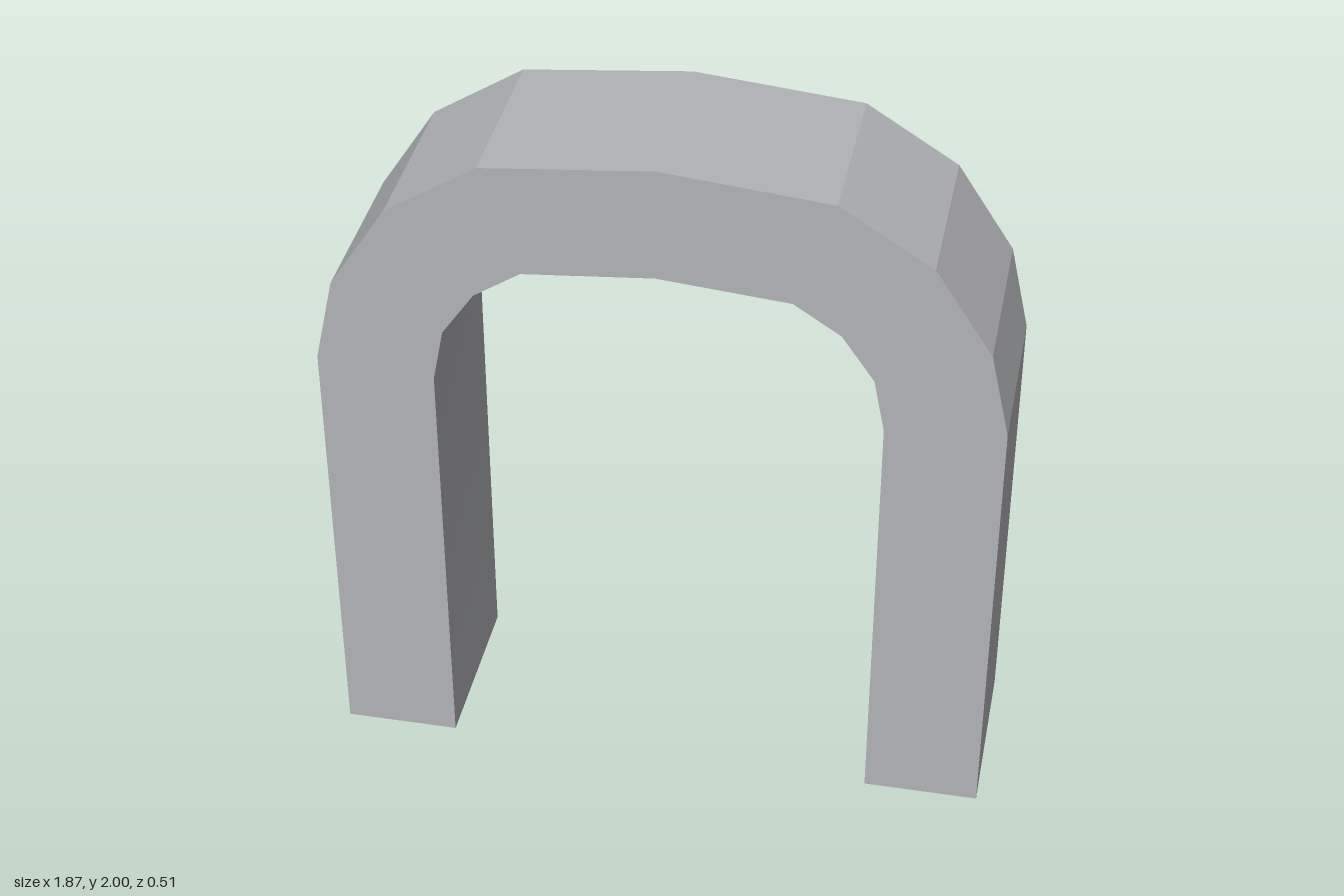
import * as THREE from 'three';
import { toCreasedNormals } from 'three/addons/utils/BufferGeometryUtils.js';

const DEPTH = 0.515;

export function createModel() {
  const group = new THREE.Group();
  group.name = 'archway';
  const stone = new THREE.MeshStandardMaterial({ color: 0xb2b3b7 });
  stone.name = 'grey stone';

  // Right half of the profile, from the foot up to the crown
  const outer = [[0.935, 0], [0.935, 1.305], [0.88, 1.55], [0.72, 1.795], [0.465, 1.955], [0, 2]];
  const inner = [[0.611, 0], [0.611, 1.275], [0.58, 1.43], [0.49, 1.56], [0.36, 1.645], [0, 1.677]];

  // Mirror each half across x = 0
  const full = half => [...half, ...half.slice(0, -1).reverse().map(([x, y]) => [-x, y])];
  const outline = [...full(outer), ...full(inner).reverse()];
  const shape = new THREE.Shape(outline.map(([x, y]) => new THREE.Vector2(x, y)));

  // Extruded arch; only the shallow crown bend is smoothed
  const geometry = new THREE.ExtrudeGeometry(shape, { depth: DEPTH, bevelEnabled: false });
  geometry.translate(0, 0, -DEPTH / 2);
  const arch = new THREE.Mesh(toCreasedNormals(geometry, 0.2), stone);
  arch.name = 'arch';
  group.add(arch);
  return group;
}
